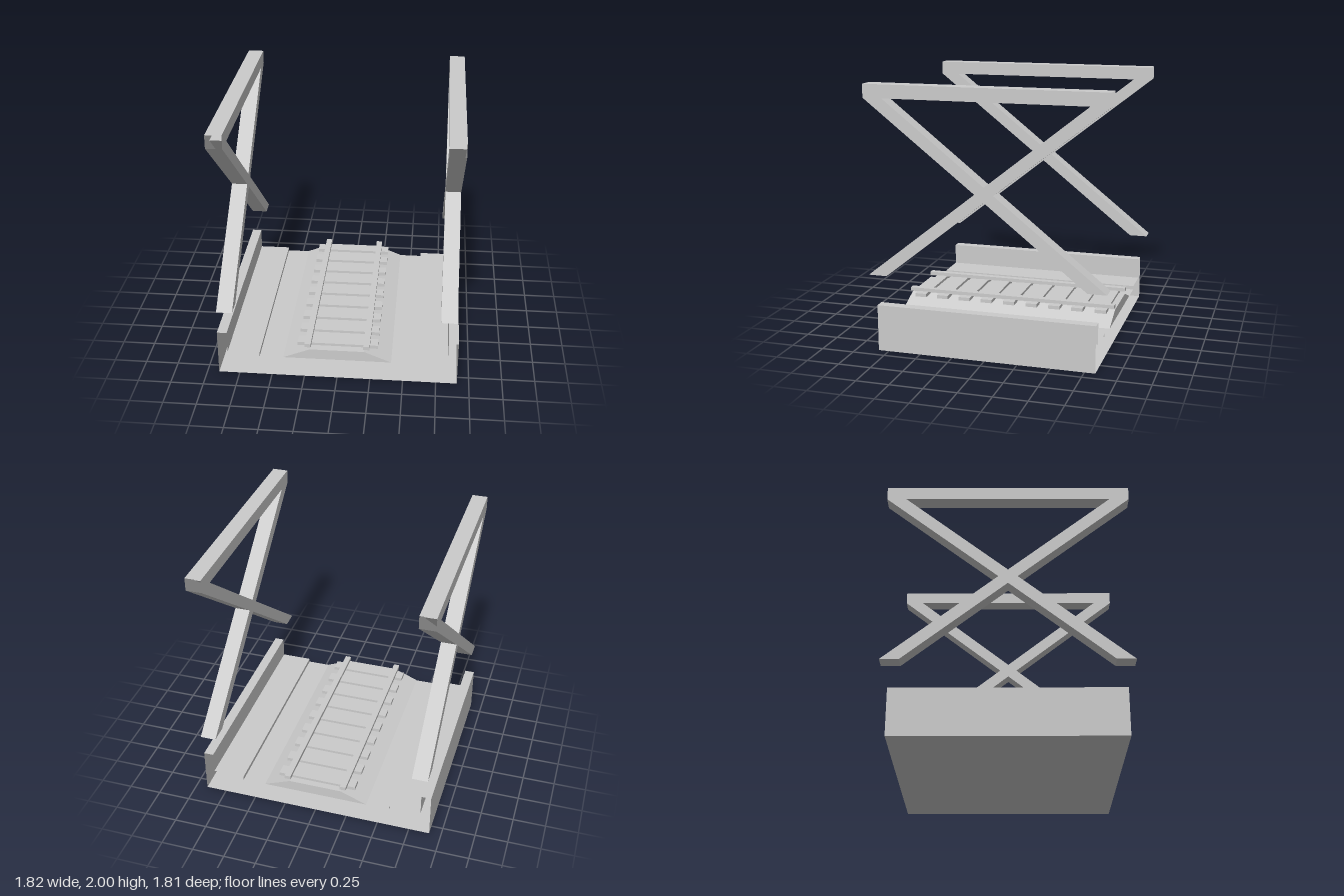
import * as THREE from 'three';

const material = new THREE.MeshStandardMaterial({ color: 0xcccccc, flatShading: true, side: THREE.DoubleSide });

function mesh(name, geometry, x = 0, y = 0, z = 0) {
  const m = new THREE.Mesh(geometry, material);
  m.name = name;
  m.position.set(x, y, z);
  return m;
}

// Sweeps an outline along z, leaving both ends open
function sheet(points, length) {
  const pos = [];
  const h = length / 2;
  for (let i = 0; i < points.length - 1; i++) {
    const [a, b] = [points[i], points[i + 1]];
    pos.push(...a, -h, ...b, -h, ...b, h, ...a, -h, ...b, h, ...a, h);
  }
  const g = new THREE.BufferGeometry();
  g.setAttribute('position', new THREE.Float32BufferAttribute(pos, 3));
  g.computeVertexNormals();
  return g;
}

const toVectors = (points) => points.map(([x, y]) => new THREE.Vector2(x, y));
const mirrored = (points) => points.map(([x, y]) => [-x, y]).reverse();

// Side truss: hollow top beam with open ends, on crossed braces
function createTruss(name, x) {
  const width = 0.12;
  const half = [[0, 1.185], [0.76, 0.58], [0.9, 0.58], [0.07, 1.24], [0.905, 1.9]];
  const lower = [...mirrored(half), ...half.slice(1)];
  const top = [[0.905, 2], [-0.905, 2]];
  const opening = [[0, 1.295], [-0.76, 1.9], [0.76, 1.9], [0, 1.295]];

  const shape = new THREE.Shape(toVectors([...lower, ...top]));
  shape.holes.push(new THREE.Path(toVectors(opening)));
  const truss = new THREE.Group();
  truss.name = name;
  truss.add(
    mesh('braceEdges', sheet(lower, width)),
    mesh('beamTop', sheet(top, width)),
    mesh('openingEdges', sheet(opening, width)),
  );
  for (const side of [1, -1]) {
    const plate = mesh('trussSide', new THREE.ShapeGeometry(shape), 0, 0, side * width / 2);
    if (side < 0) plate.rotation.y = Math.PI;
    truss.add(plate);
  }
  truss.rotation.y = Math.PI / 2;
  truss.position.x = x;
  return truss;
}

export function createModel() {
  const model = new THREE.Group();
  model.name = 'railwayBridge';
  const length = 1.66;

  // Hollow deck with side walls and stepped ledges, open at both ends
  const deckHalf = [[0.91, 0], [0.91, 0.355], [0.835, 0.355], [0.835, 0.19], [0.59, 0.19], [0.59, 0.16]];
  const outline = [...deckHalf, ...mirrored(deckHalf), deckHalf[0]];
  model.add(mesh('deck', sheet(outline, length)));

  // Ballast bed
  const bed = new THREE.Shape(toVectors([[-0.41, 0.162], [0.41, 0.162], [0.205, 0.245], [-0.205, 0.245]]));
  model.add(mesh('ballast', new THREE.ExtrudeGeometry(bed, { depth: length, bevelEnabled: false }), 0, 0, -length / 2));

  // Sleepers
  for (let i = 0; i < 9; i++) {
    model.add(mesh('sleeper', new THREE.BoxGeometry(0.61, 0.027, 0.09), 0, 0.2515, -0.735 + i * 0.1823));
  }

  // Rails and trusses on both sides
  for (const [side, label] of [[1, 'left'], [-1, 'right']]) {
    model.add(mesh(label + 'Rail', new THREE.BoxGeometry(0.047, 0.028, length), side * 0.222, 0.277, 0));
    model.add(createTruss(label + 'Truss', side * 0.83));
  }
  return model;
}
